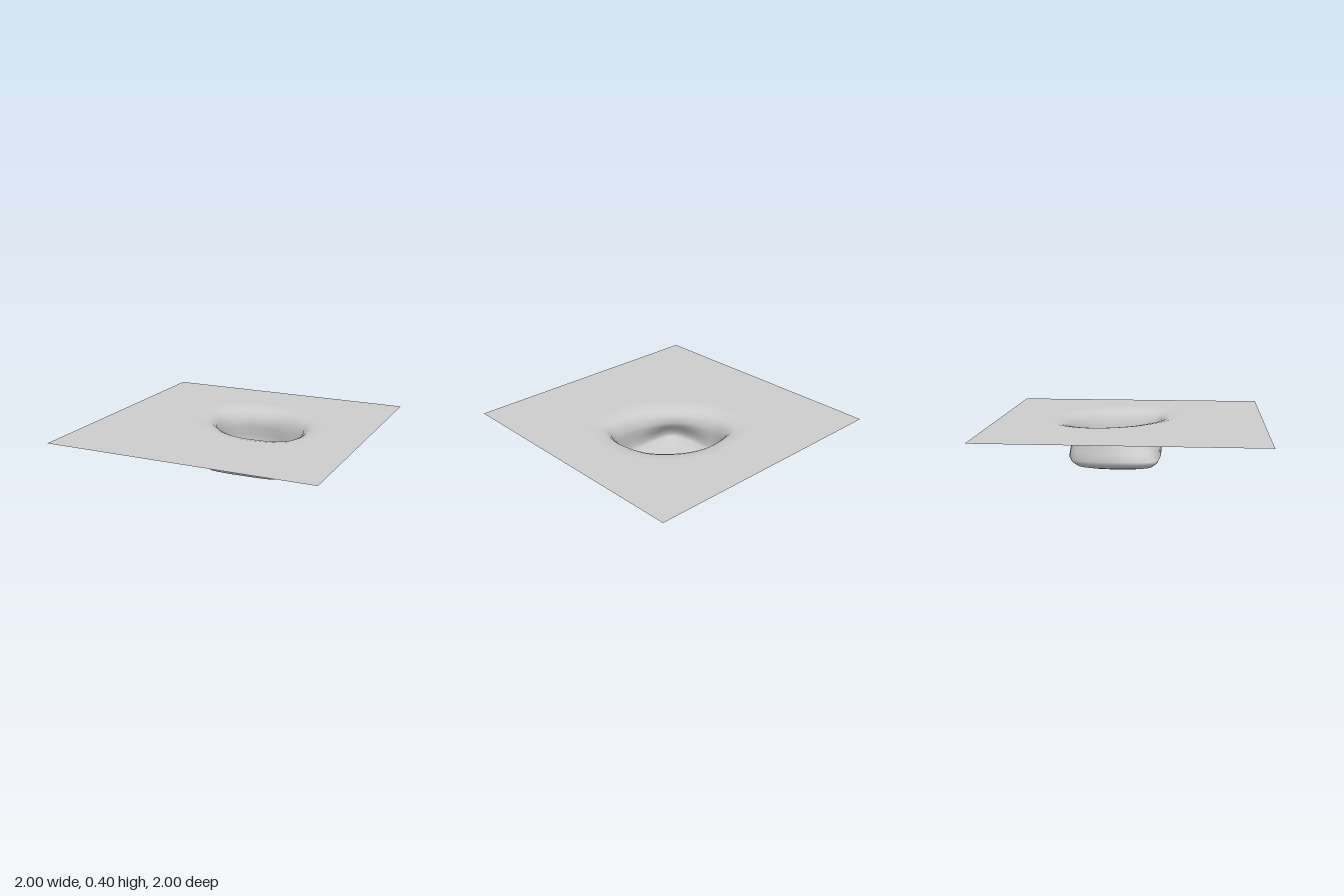
import * as THREE from 'three';

const SEGMENTS = 64, TOP = 0.4, CX = 0.12, CZ = -0.12;

// Radii every 22.5 degrees, turning from +x towards +z around the pit centre
const NECK = [0.345, 0.385, 0.415, 0.35, 0.305, 0.275, 0.265, 0.29, 0.33, 0.38, 0.395, 0.345, 0.32, 0.305, 0.305, 0.325];
const BODY = [0.34, 0.37, 0.44, 0.375, 0.35, 0.38, 0.45, 0.4, 0.37, 0.395, 0.42, 0.375, 0.345, 0.3, 0.275, 0.3];

// Pit levels from rim to floor: height, blend from neck to body, scale, outward flare
const LEVELS = [
  [0.4, 0, 1, 0.18], [0.4, 0, 1, 0.15], [0.39, 0, 1, 0.09], [0.375, 0, 1, 0.055],
  [0.345, 0, 1, 0.02], [0.29, 0, 1, 0], [0.24, 0.25, 1, 0], [0.18, 0.65, 1, 0],
  [0.12, 1, 1, 0], [0.09, 1, 0.96, 0], [0.06, 1, 0.86, 0], [0.035, 1, 0.62, 0],
  [0.015, 1, 0.35, 0], [0.005, 1, 0.14, 0],
];

function ring([y, blend, scale, flare]) {
  const points = NECK.map((neck, i) => {
    const r = THREE.MathUtils.lerp(neck, BODY[i], blend) * scale + flare;
    const a = (i / NECK.length) * Math.PI * 2;
    return new THREE.Vector3(CX + r * Math.cos(a), y, CZ + r * Math.sin(a));
  });
  const curve = new THREE.CatmullRomCurve3(points, true);
  return Array.from({ length: SEGMENTS }, (_, i) => curve.getPoint(i / SEGMENTS));
}

function loftPit(rings) {
  const vertices = [...rings.flat(), new THREE.Vector3(CX, 0, CZ)];
  const index = [];
  for (let k = 0; k < rings.length; k++) {
    for (let i = 0; i < SEGMENTS; i++) {
      const next = (i + 1) % SEGMENTS;
      const a = k * SEGMENTS + i, b = k * SEGMENTS + next;
      if (k === rings.length - 1) {
        index.push(a, vertices.length - 1, b);
      } else {
        const c = a + SEGMENTS, d = b + SEGMENTS;
        index.push(a, c, b, b, c, d);
      }
    }
  }
  const geometry = new THREE.BufferGeometry().setFromPoints(vertices);
  geometry.setIndex(index);
  geometry.computeVertexNormals();
  return geometry;
}

export function createModel() {
  const group = new THREE.Group();
  const material = new THREE.MeshStandardMaterial({ color: 0xcccccc, side: THREE.DoubleSide });
  const rings = LEVELS.map(ring);

  // Flat square ground with an opening for the pit
  const square = new THREE.Shape([[-1, -1], [1, -1], [1, 1], [-1, 1]].map(([x, y]) => new THREE.Vector2(x, y)));
  square.holes.push(new THREE.Path(rings[0].map((p) => new THREE.Vector2(p.x, -p.z))));
  const sheet = new THREE.ShapeGeometry(square);
  sheet.rotateX(-Math.PI / 2).translate(0, TOP, 0);
  const ground = new THREE.Mesh(sheet, material);
  ground.name = 'groundSheet';

  // Pit with flared rim, narrow neck and wider rounded hollow
  const pit = new THREE.Mesh(loftPit(rings), material);
  pit.name = 'pit';

  group.add(ground, pit);
  return group;
}
